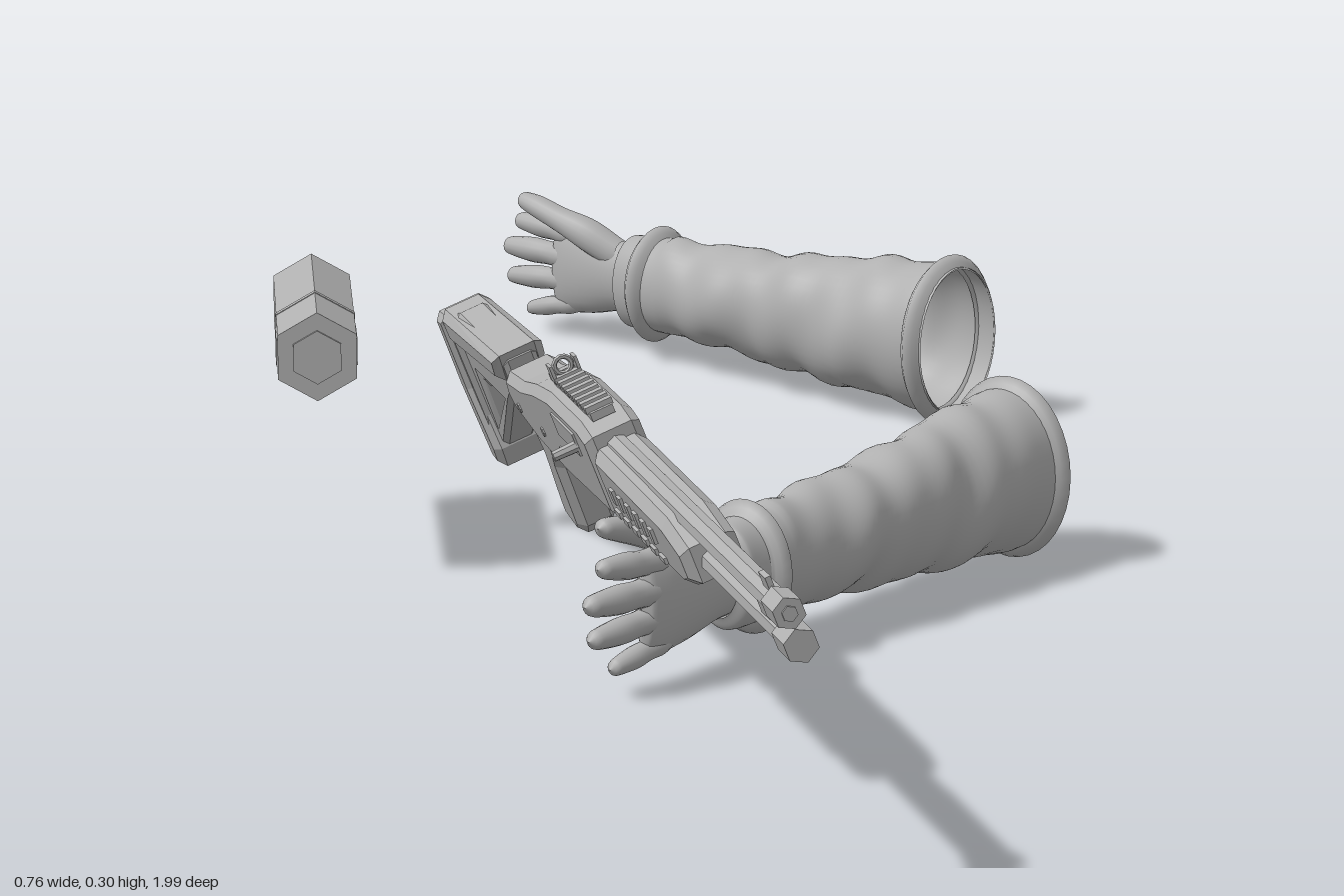
import * as THREE from 'three';

const grey = new THREE.MeshStandardMaterial({ color: 0xb0b0b0, side: THREE.DoubleSide });
grey.name = 'plain grey';
const greyFlat = grey.clone();
greyFlat.name = 'plain grey faceted';
greyFlat.flatShading = true;

function add(parent, name, geometry, material = greyFlat) {
  const mesh = new THREE.Mesh(geometry, material);
  mesh.name = name;
  parent.add(mesh);
  return mesh;
}

// Smooth skin over elliptical rings [x, y, z, halfWidth, halfHeight] running along +z
function loft(rings, steps, sides, ripple = () => 1) {
  const centre = new THREE.CatmullRomCurve3(rings.map(r => new THREE.Vector3(r[0], r[1], r[2])));
  const size = new THREE.CatmullRomCurve3(rings.map(r => new THREE.Vector3(r[3], r[4], 0)));
  const pos = [], index = [];
  for (let i = 0; i <= steps; i++) {
    const c = centre.getPoint(i / steps), s = size.getPoint(i / steps);
    for (let j = 0; j < sides; j++) {
      const a = (j / sides) * Math.PI * 2, k = ripple(a, c.z);
      pos.push(c.x + Math.cos(a) * s.x * k, c.y + Math.sin(a) * s.y * k, c.z);
      if (i < steps) {
        const p = i * sides + j, q = i * sides + (j + 1) % sides;
        index.push(p, q, p + sides, q, q + sides, p + sides);
      }
    }
  }
  const g = new THREE.BufferGeometry();
  g.setAttribute('position', new THREE.Float32BufferAttribute(pos, 3));
  g.setIndex(index);
  g.computeVertexNormals();
  return g;
}

// Side outline of [z, y] points, extruded to a width across x
function profile(points, width, bevel = 0, hole) {
  const shape = new THREE.Shape(points.map(p => new THREE.Vector2(...p)));
  if (hole) shape.holes.push(new THREE.Path(hole.map(p => new THREE.Vector2(...p))));
  const depth = width - 2 * bevel;
  const g = new THREE.ExtrudeGeometry(shape, {
    depth, bevelEnabled: bevel > 0, bevelSize: bevel, bevelOffset: -bevel, bevelThickness: bevel, bevelSegments: 1,
  });
  return g.translate(0, 0, -depth / 2).rotateY(-Math.PI / 2);
}

function box(w, h, d, x, y, z) {
  return new THREE.BoxGeometry(w, h, d).translate(x, y, z);
}

function rod(r, z0, z1, y, sides) {
  return new THREE.CylinderGeometry(r, r, z1 - z0, sides).rotateX(Math.PI / 2).translate(0, y, (z0 + z1) / 2);
}

// Sleeved forearm and open hand; side sets which way the palm faces
function makeArm(side) {
  const arm = new THREE.Group();
  const folds = (a, z) => {
    const grow = Math.min(1, z * 9) * (z > 0.4 ? 0.4 : 1);
    return 1 + grow * (0.035 * Math.sin(z * 62 + 2.2 * Math.sin(a + 0.6))
      + 0.025 * Math.sin(z * 105 - 2 * a * side + 1)
      + 0.025 * Math.sin(3 * a + z * 25));
  };
  add(arm, 'sleeve', loft([
    [0, 0.081, 0, 0.06, 0.078], [0, 0.081, 0.03, 0.062, 0.079], [0, 0.079, 0.1, 0.061, 0.073],
    [0, 0.077, 0.2, 0.056, 0.064], [0, 0.075, 0.28, 0.051, 0.058], [0, 0.074, 0.35, 0.046, 0.054],
    [0, 0.073, 0.41, 0.041, 0.052], [0, 0.072, 0.46, 0.037, 0.05], [0, 0.072, 0.468, 0.025, 0.038],
  ], 90, 40, folds), grey);
  // Hem at the open end and strap at the wrist
  const hem = (name, z, w, h, y) => add(arm, name, loft([
    [0, y, z - 0.013, w - 0.003, h - 0.003], [0, y, z - 0.009, w, h],
    [0, y, z + 0.009, w, h], [0, y, z + 0.013, w - 0.003, h - 0.003],
  ], 8, 36), grey);
  hem('sleeveHem', 0.014, 0.062, 0.079, 0.081);
  hem('cuffStrap', 0.425, 0.042, 0.053, 0.073);

  add(arm, 'palm', loft([
    [0, 0.072, 0.44, 0.024, 0.036], [0, 0.073, 0.48, 0.024, 0.039], [0, 0.072, 0.52, 0.023, 0.047],
    [0, 0.07, 0.555, 0.018, 0.049], [0, 0.07, 0.575, 0.011, 0.043], [0, 0.07, 0.58, 0.0005, 0.02],
  ], 24, 24), grey);

  // Fingers: [start y, tip y, tip z, radius]
  [[0.106, 0.114, 0.632, 0.0125], [0.081, 0.083, 0.65, 0.0135],
    [0.057, 0.05, 0.645, 0.0125], [0.034, 0.017, 0.615, 0.0105]].forEach(([y0, y1, z1, r], i) => {
    const at = (t, k) => [side * 0.008 * t * t, y0 + (y1 - y0) * t, 0.535 + (z1 - 0.535) * t, r * k, r * k];
    add(arm, 'finger' + (i + 1), loft([
      at(0, 0.8), at(0.25, 1.1), at(0.45, 0.95), at(0.62, 1.02), at(0.8, 0.9), at(0.94, 0.7), at(1, 0.03),
    ], 20, 14), grey);
  });
  add(arm, 'thumb', loft([
    [side * 0.004, 0.095, 0.475, 0.014, 0.018], [side * 0.014, 0.113, 0.51, 0.017, 0.019],
    [side * 0.022, 0.128, 0.55, 0.014, 0.014], [side * 0.025, 0.138, 0.58, 0.0135, 0.0125],
    [side * 0.026, 0.143, 0.602, 0.01, 0.009], [side * 0.026, 0.144, 0.609, 0.0004, 0.0004],
  ], 22, 16), grey);
  return arm;
}

function makeGun() {
  const gun = new THREE.Group();

  // Barrel over magazine tube, both with faceted muzzle caps
  add(gun, 'barrel', rod(0.0115, 0.4, 1.01, 0, 8));
  add(gun, 'magazineTube', rod(0.0125, 0.4, 1.0, -0.032, 8));
  add(gun, 'muzzleRing', rod(0.0145, 0.98, 1.015, 0, 6));
  add(gun, 'magazineCap', rod(0.0155, 0.975, 1.01, -0.032, 6));
  add(gun, 'muzzleBore', rod(0.007, 1.01, 1.017, 0, 6));
  add(gun, 'barrelClamp', box(0.014, 0.034, 0.025, 0, -0.016, 0.94));
  add(gun, 'frontSight', box(0.005, 0.014, 0.02, 0, 0.016, 0.97));

  // Forend with rows of side vents
  add(gun, 'forend', profile([[0.47, 0.006], [0.7, 0.004], [0.75, -0.012], [0.75, -0.046],
    [0.72, -0.056], [0.47, -0.06]], 0.052, 0.009));
  for (const x of [-1, 1]) for (let i = 0; i < 6; i++) {
    add(gun, 'forendVent', box(0.006, 0.014, 0.012, x * 0.026, -0.024, 0.52 + i * 0.026));
    add(gun, 'forendRib', box(0.006, 0.006, 0.018, x * 0.026, -0.044, 0.51 + i * 0.03));
  }

  // Receiver, tapering toward the grip
  add(gun, 'receiver', profile([[0.475, 0.018], [0.45, 0.027], [0.34, 0.027], [0.27, 0.016], [0.2, 0],
    [0.13, -0.008], [0.115, -0.03], [0.13, -0.048], [0.2, -0.062], [0.3, -0.068], [0.475, -0.062]], 0.054, 0.008));
  add(gun, 'ejectionPort', box(0.006, 0.022, 0.08, -0.026, 0.002, 0.39));
  add(gun, 'chargingHandle', new THREE.CylinderGeometry(0.005, 0.006, 0.03, 8).rotateZ(Math.PI / 2).translate(-0.036, 0, 0.425));
  for (const z of [0.16, 0.25, 0.32]) {
    add(gun, 'receiverPin', new THREE.CylinderGeometry(0.005, 0.005, 0.057, 8).rotateZ(Math.PI / 2).translate(0, -0.035, z));
  }

  // Top rail and ring sight
  add(gun, 'rail', box(0.022, 0.008, 0.14, 0, 0.03, 0.39));
  for (let i = 0; i < 9; i++) add(gun, 'railTooth', box(0.026, 0.006, 0.008, 0, 0.036, 0.328 + i * 0.0155));
  add(gun, 'rearSight', new THREE.TorusGeometry(0.008, 0.0025, 6, 12).translate(0, 0.046, 0.34));
  for (const x of [-1, 1]) add(gun, 'sightWing', box(0.003, 0.016, 0.014, x * 0.012, 0.043, 0.34));

  // Trigger, guard and pistol grip
  add(gun, 'triggerGuard', profile([[0.33, -0.06], [0.31, -0.085], [0.22, -0.092], [0.185, -0.06]], 0.014, 0,
    [[0.318, -0.063], [0.304, -0.08], [0.224, -0.086], [0.198, -0.063]]));
  add(gun, 'trigger', box(0.006, 0.022, 0.006, 0, -0.07, 0.255));
  add(gun, 'grip', profile([[0.205, -0.045], [0.2, -0.075], [0.183, -0.1], [0.172, -0.165], [0.16, -0.175],
    [0.115, -0.165], [0.118, -0.145], [0.14, -0.09], [0.125, -0.04]], 0.04, 0.008));

  // Stock: sloping tube, open triangular frame and butt pad
  const tube = new THREE.CylinderGeometry(0.013, 0.013, 0.27, 8).rotateX(Math.PI / 2);
  tube.rotateX(-0.24).translate(0, -0.058, 0.0);
  add(gun, 'stockTube', tube);
  add(gun, 'stockFrame', profile([[0.09, -0.012], [0.085, -0.042], [0.02, -0.075], [-0.135, -0.165], [-0.15, -0.165],
    [-0.145, -0.022], [-0.1, -0.01]], 0.034, 0.005,
  [[0.0, -0.074], [-0.115, -0.078], [-0.125, -0.138]]));
  add(gun, 'cheekRest', profile([[0.09, -0.004], [0.075, -0.034], [-0.145, -0.05], [-0.15, -0.016]], 0.052, 0.008));
  add(gun, 'buttPad', profile([[-0.14, -0.02], [-0.172, -0.022], [-0.18, -0.1], [-0.168, -0.182],
    [-0.14, -0.186], [-0.132, -0.165], [-0.145, -0.1]], 0.056, 0.007));
  add(gun, 'buttPadRim', box(0.046, 0.13, 0.006, 0, -0.1, -0.142));

  gun.rotation.set(0, 0.19, 0.375, 'YXZ');
  gun.position.set(-0.178, 0.238, 0);
  return gun;
}

// Hexagonal cartridge with a rim and inset end
function makeShell() {
  const shell = new THREE.Group();
  add(shell, 'shellCase', rod(0.043, -0.206, 0.038, 0, 6));
  add(shell, 'shellPrimer', rod(0.026, 0.03, 0.041, 0, 6));
  add(shell, 'shellBand', rod(0.0438, -0.05, -0.042, 0, 6));
  for (const x of [-1, 1]) add(shell, 'shellSidePlate', box(0.004, 0.026, 0.05, x * 0.0365, 0, -0.005));
  shell.position.set(-0.345, 0.217, 0);
  return shell;
}

export function createModel() {
  const model = new THREE.Group();
  const parts = { gun: makeGun(), shell: makeShell(), leftArm: makeArm(-1), rightArm: makeArm(1) };
  parts.leftArm.position.set(0.33, 0, -0.03);
  parts.leftArm.rotation.y = Math.atan2(-0.44, 0.475);
  parts.rightArm.position.set(0.33, 0, -0.52);
  parts.rightArm.rotation.y = Math.atan2(-0.44, -0.475);
  for (const [name, part] of Object.entries(parts)) {
    part.name = name;
    model.add(part);
  }
  return model;
}
